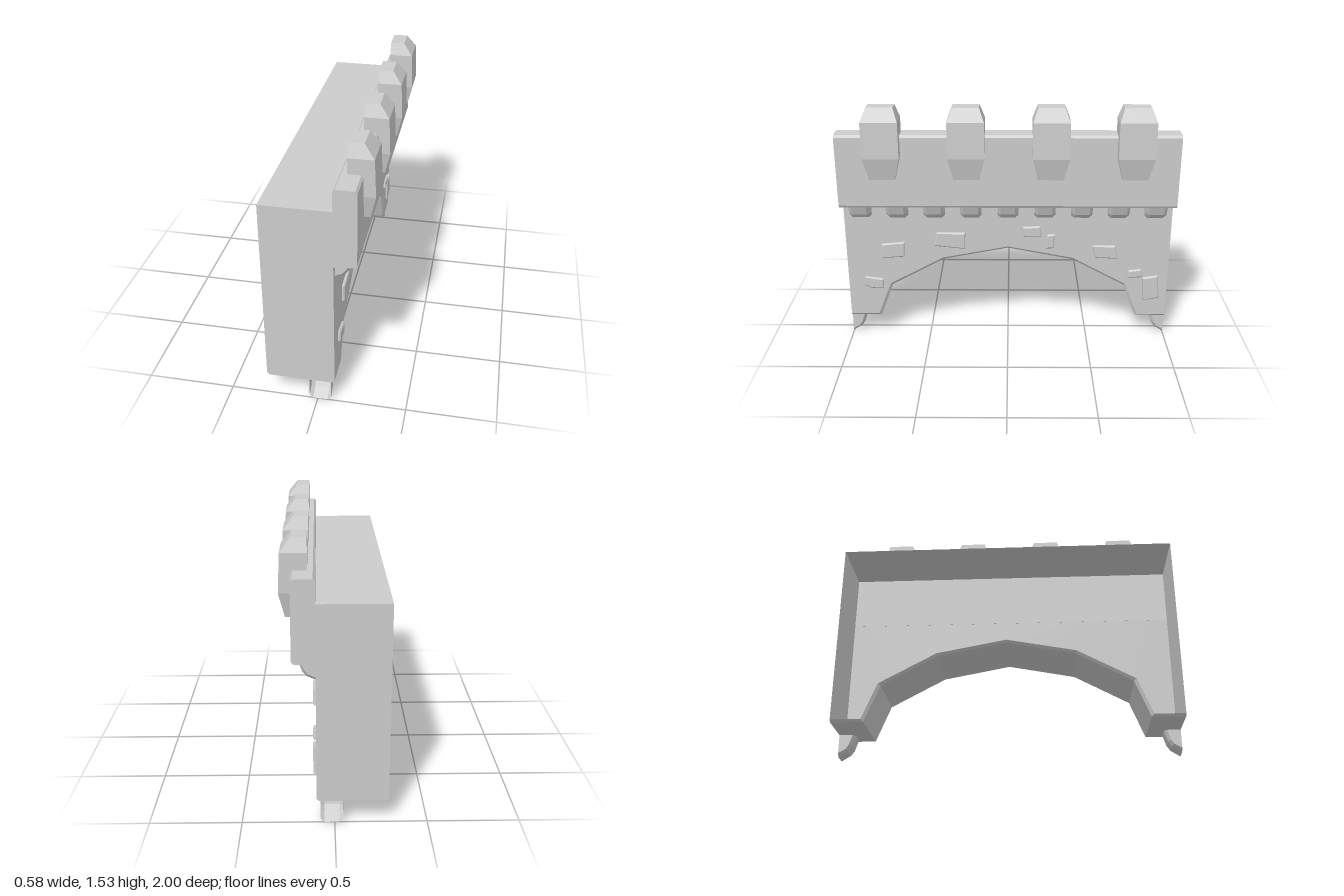
import * as THREE from 'three';

const material = new THREE.MeshStandardMaterial({ color: 0xcccccc, flatShading: true, side: THREE.DoubleSide });

// How a section point (a, b) at distance t along each axis becomes x, y, z
const place = {
  x: (a, b, t) => [t, b, a],
  y: (a, b, t) => [a, t, b],
  z: (a, b, t) => [a, b, t],
};

// Joins sections [t, points] along an axis. open leaves out the last-to-first strip.
function loft(name, axis, sections, { open = false, startCap = true, endCap = true } = {}) {
  const ccw = THREE.ShapeUtils.area(sections[0][1].map(p => new THREE.Vector2(...p))) > 0;
  const rings = sections.map(([t, pts]) => ({ t, pts: ccw ? pts : [...pts].reverse() }));
  const n = rings[0].pts.length;
  const flip = axis !== 'z';
  const positions = [];
  const tri = (...corners) => {
    if (flip) corners.reverse();
    for (const [r, i] of corners) positions.push(...place[axis](...r.pts[i], r.t));
  };
  for (let s = 0; s < rings.length - 1; s++) {
    const p = rings[s], q = rings[s + 1];
    for (let i = 0; i < (open ? n - 1 : n); i++) {
      const j = (i + 1) % n;
      tri([p, i], [p, j], [q, j]);
      tri([p, i], [q, j], [q, i]);
    }
  }
  const cap = (r, reverse) => {
    const faces = THREE.ShapeUtils.triangulateShape(r.pts.map(p => new THREE.Vector2(...p)), []);
    for (const [a, b, c] of faces) reverse ? tri([r, c], [r, b], [r, a]) : tri([r, a], [r, b], [r, c]);
  };
  if (startCap) cap(rings[0], true);
  if (endCap) cap(rings[rings.length - 1], false);
  const geometry = new THREE.BufferGeometry();
  geometry.setAttribute('position', new THREE.Float32BufferAttribute(positions, 3));
  geometry.computeVertexNormals();
  const mesh = new THREE.Mesh(geometry, material);
  mesh.name = name;
  return mesh;
}

// Arched wall shell: points are (z, y), hollow and open at the back
function archOutline(inset) {
  const half = [[1, 0.13 + inset], [0.81 + inset, 0.13 + inset], [0.725 + inset, 0.348 + inset * 0.7],
    [0.4 + inset * 0.4, 0.525 + inset], [0, 0.602 + inset]];
  const mirrored = half.slice(0, -1).reverse().map(([z, y]) => [-z, y]);
  return [...half, ...mirrored, [-1, 1.24], [1, 1.24]];
}

function wall() {
  const full = archOutline(0), inset = archOutline(0.014);
  return loft('archedWall', 'x', [[-0.29, inset], [-0.276, full], [0.084, full], [0.098, inset]], { startCap: false });
}

// Parapet running the whole length
function parapet() {
  const profile = [[0.097, 0.91], [0.214, 0.921], [0.222, 0.935], [0.222, 1.353], [0.211, 1.367],
    [0.109, 1.367], [0.097, 1.353]];
  return loft('parapet', 'z', [[-1, profile], [1, profile]]);
}

// Tapered merlon: each level is height, front x and half width
function merlon(z) {
  const levels = [[1.11, 0.255, 0.075], [1.245, 0.287, 0.106], [1.457, 0.278, 0.106], [1.53, 0.222, 0.077]];
  const mesh = loft('merlon', 'y', levels.map(([y, front, w]) =>
    [y, [[0.138, -w], [front, -w], [front, w], [0.138, w]]]));
  mesh.position.z = z;
  return mesh;
}

// Corbel under the parapet with bevelled cheeks
function corbel(z) {
  const full = [[0.098, 0.81], [0.146, 0.832], [0.168, 0.858], [0.192, 0.921], [0.098, 0.921]];
  const small = [[0.098, 0.828], [0.136, 0.845], [0.153, 0.866], [0.174, 0.921], [0.098, 0.921]];
  const mesh = loft('corbel', 'z', [[-0.063, small], [-0.044, full], [0.044, full], [0.063, small]], { open: true });
  mesh.position.z = z;
  return mesh;
}

// Half bracket below each end, open at the joint
function foot(side) {
  const mirror = pts => pts.map(([z, y]) => [z * side, y]);
  const full = mirror([[1, 0], [0.945, 0.035], [0.925, 0.065], [0.904, 0.132], [1, 0.132]]);
  const small = mirror([[1, 0.02], [0.957, 0.046], [0.94, 0.072], [0.921, 0.132], [1, 0.132]]);
  return loft('endBracket', 'x', [[-0.047, small], [-0.027, full], [0.056, full], [0.076, small]], { open: true });
}

// Raised stone with a bevelled rim, corners as (z, y)
function stone(corners) {
  const cz = corners.reduce((s, p) => s + p[0], 0) / corners.length;
  const cy = corners.reduce((s, p) => s + p[1], 0) / corners.length;
  const pull = (v, c) => v - Math.sign(v - c) * Math.min(0.007, Math.abs(v - c) * 0.5);
  const inner = corners.map(([z, y]) => [pull(z, cz), pull(y, cy)]);
  return loft('raisedStone', 'x', [[0.098, corners], [0.108, corners], [0.114, inner]], { startCap: false });
}

const stones = [
  [[0.78, 0.635], [0.636, 0.648], [0.64, 0.55], [0.785, 0.54]],
  [[0.44, 0.712], [0.262, 0.712], [0.265, 0.604], [0.452, 0.624]],
  [[0.895, 0.412], [0.783, 0.396], [0.783, 0.33], [0.865, 0.332], [0.903, 0.352]],
  [[-0.09, 0.75], [-0.198, 0.756], [-0.208, 0.684], [-0.094, 0.686]],
  [[-0.24, 0.7], [-0.29, 0.702], [-0.283, 0.61], [-0.229, 0.608]],
  [[-0.522, 0.627], [-0.664, 0.627], [-0.68, 0.54], [-0.54, 0.545]],
  [[-0.752, 0.457], [-0.83, 0.466], [-0.84, 0.412], [-0.745, 0.407]],
  [[-0.843, 0.407], [-0.937, 0.422], [-0.953, 0.267], [-0.853, 0.25]],
];

export function createModel() {
  const group = new THREE.Group();
  group.name = 'battlementBridge';
  group.add(wall(), parapet(), foot(1), foot(-1));
  for (let i = 0; i < 4; i++) group.add(merlon(0.727 - i * 0.488));
  for (let i = -4; i <= 4; i++) group.add(corbel(i * 0.223));
  for (const corners of stones) group.add(stone(corners));
  return group;
}
